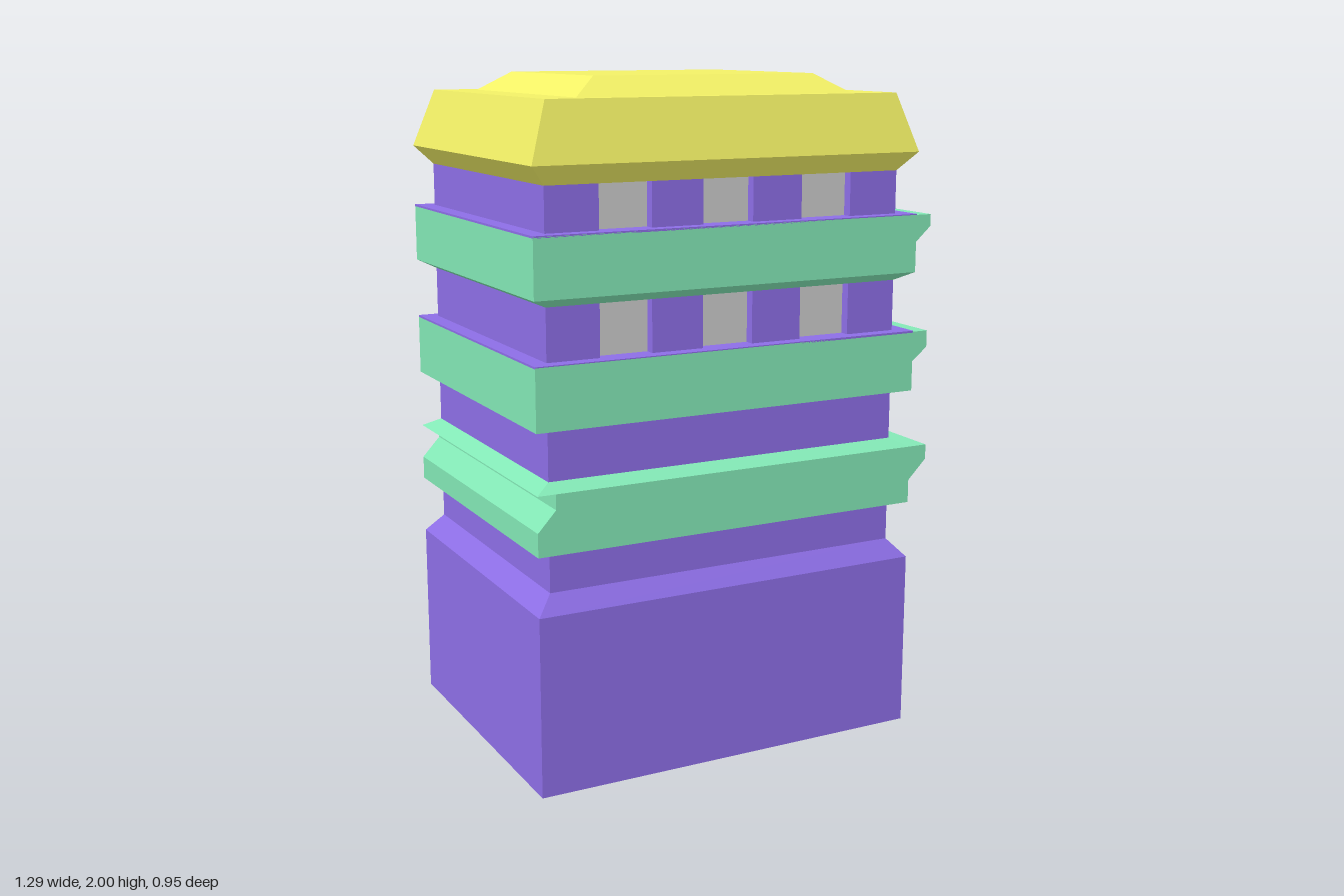
import * as THREE from 'three';

const PURPLE = 0x8d6ee6, GREEN = 0x83e8b6, YELLOW = 0xf2f066, GREY = 0xcccccc;
const OUT = [-0.645, 0.58, 0.475];   // outer footprint: x min, x max, half depth
const CORE = [-0.595, 0.53, 0.435];  // inner wall footprint
const RECESS = 0.035;

function addMesh(parent, name, geometry, color) {
  const material = new THREE.MeshStandardMaterial({ color, flatShading: true });
  const mesh = new THREE.Mesh(geometry, material);
  mesh.name = name;
  parent.add(mesh);
  return mesh;
}

// Closed solid through stacked rectangles, each [y, xMin, xMax, halfDepth]
function loft(rows) {
  const pos = [];
  const rings = rows.map(([y, a, b, z]) => [[a, y, z], [b, y, z], [b, y, -z], [a, y, -z]]);
  const quad = (a, b, c, d) => pos.push(...a, ...b, ...c, ...a, ...c, ...d);
  for (let r = 0; r < rings.length - 1; r++) {
    const lo = rings[r], hi = rings[r + 1];
    for (let i = 0; i < 4; i++) {
      const j = (i + 1) % 4;
      quad(lo[i], lo[j], hi[j], hi[i]);
    }
  }
  const top = rings[rings.length - 1], bottom = rings[0];
  quad(top[0], top[1], top[2], top[3]);
  quad(bottom[3], bottom[2], bottom[1], bottom[0]);
  const geometry = new THREE.BufferGeometry();
  geometry.setAttribute('position', new THREE.Float32BufferAttribute(pos, 3));
  geometry.computeVertexNormals();
  return geometry;
}

// Wall block whose plan has notches in the front, back and door-side walls
function notchedBlock([x0, x1, z], y0, y1, longNotches, sideNotches, depth) {
  const pts = [[x0, -z]];
  for (const [a, b] of longNotches) pts.push([a, -z], [a, -z + depth], [b, -z + depth], [b, -z]);
  pts.push([x1, -z]);
  for (const [a, b] of sideNotches) pts.push([x1, a], [x1 - depth, a], [x1 - depth, b], [x1, b]);
  pts.push([x1, z]);
  for (const [a, b] of [...longNotches].reverse()) pts.push([b, z], [b, z - depth], [a, z - depth], [a, z]);
  pts.push([x0, z]);
  const shape = new THREE.Shape(pts.map(p => new THREE.Vector2(...p)));
  return new THREE.ExtrudeGeometry(shape, { depth: y1 - y0, bevelEnabled: false })
    .rotateX(-Math.PI / 2).translate(0, y0, 0);
}

function addPanel(parent, name, color, size, position) {
  addMesh(parent, name, new THREE.BoxGeometry(...size), color).position.set(...position);
}

export function createModel() {
  const model = new THREE.Group();
  model.name = 'tower';

  // Ground storey with a recessed door
  const base = new THREE.Group();
  base.name = 'base';
  model.add(base);
  addMesh(base, 'doorStorey', notchedBlock(OUT, 0, 0.36, [], [[-0.16, 0.16]], 0.025), PURPLE);
  addMesh(base, 'upperBase', loft([[0.36, ...OUT], [0.535, ...OUT], [0.59, ...CORE]]), PURPLE);
  addPanel(base, 'door', GREEN, [0.01, 0.36, 0.32], [OUT[1] - 0.022, 0.18, 0]);

  // Window storeys: [bottom, top, long-wall windows, side-wall windows]
  const long = [[-0.435, -0.275], [-0.115, 0.045], [0.205, 0.37]];
  const outer = [[-0.342, -0.242], [0.242, 0.342]];
  const side = [outer[0], [-0.145, 0.145], outer[1]];
  const storeys = [
    [0.59, 0.71, [], outer],
    [0.91, 1.06, [], side],
    [1.24, 1.395, long, side],
    [1.59, 1.72, long, side],
  ];
  for (const [y0, y1, longWins, sideWins] of storeys) {
    const storey = new THREE.Group();
    storey.name = 'storey';
    model.add(storey);
    addMesh(storey, 'walls', notchedBlock(CORE, y0, y1, longWins, sideWins, RECESS), PURPLE);
    const h = y1 - y0, y = (y0 + y1) / 2;
    for (const [a, b] of longWins)
      for (const s of [1, -1])
        addPanel(storey, 'window', GREY, [b - a, h, 0.01], [(a + b) / 2, y, s * (CORE[2] - RECESS)]);
    for (const [a, b] of sideWins)
      addPanel(storey, 'window', GREY, [0.01, h, b - a], [CORE[1] - RECESS, y, (a + b) / 2]);
  }

  // Balcony bands, each with a lip overhanging the door side
  const [xl, xr, z] = OUT;
  addMesh(model, 'lowerBand', loft([
    [0.71, ...OUT], [0.78, ...OUT], [0.84, -0.59, 0.64, z], [0.885, -0.59, 0.64, z],
    [0.885, ...OUT], [0.91, ...CORE],
  ]), GREEN);
  addMesh(model, 'middleBand', loft([
    [1.06, ...OUT], [1.15, ...OUT], [1.19, xl, 0.63, z], [1.24, xl, 0.63, z],
  ]), GREEN);
  addMesh(model, 'upperBand', loft([
    [1.395, ...CORE], [1.42, ...OUT], [1.51, ...OUT], [1.555, xl, 0.63, z], [1.59, xl, 0.63, z],
  ]), GREEN);

  // Terrace floors on the two upper bands
  for (const y of [1.24, 1.59])
    addPanel(model, 'terraceFloor', PURPLE, [xr - xl, 0.006, z * 2], [(xl + xr) / 2, y, 0]);

  // Roof with flared eaves and a raised centre
  addMesh(model, 'roof', loft([
    [1.72, ...CORE], [1.775, ...OUT], [1.945, -0.587, 0.524, 0.432],
    [1.945, -0.47, 0.405, 0.372], [2, -0.385, 0.32, 0.297],
  ]), YELLOW);

  return model;
}
